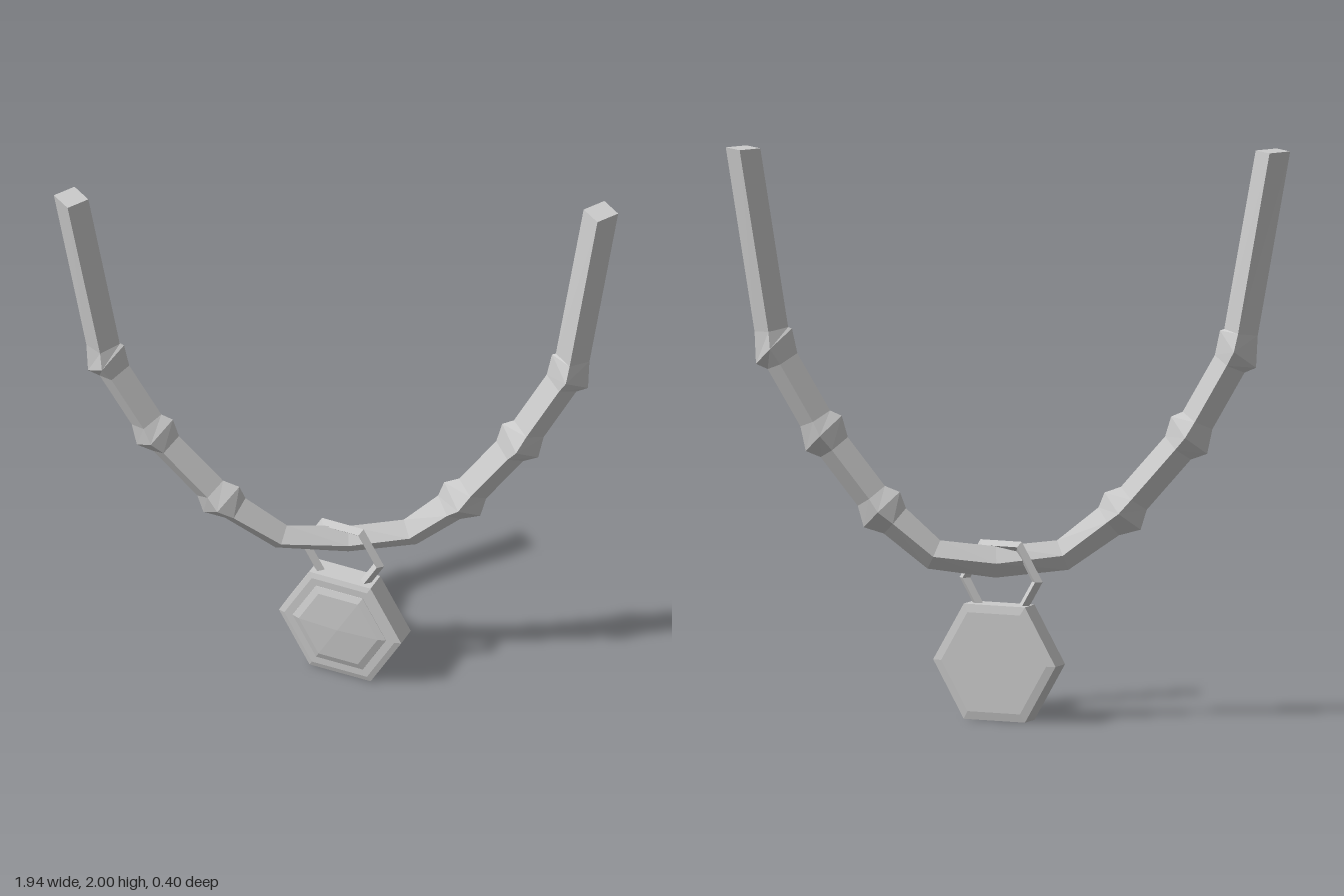
import * as THREE from 'three';

const V = (x, y, z) => new THREE.Vector3(x, y, z);
const material = () => new THREE.MeshStandardMaterial({ color: 0xcccccc, flatShading: true });

function addMesh(parent, geometry, name) {
  const flat = geometry.index ? geometry.toNonIndexed() : geometry;
  flat.computeVertexNormals();
  const mesh = new THREE.Mesh(flat, material());
  mesh.name = name;
  parent.add(mesh);
  return mesh;
}

// Skin a list of four-cornered sections and cap both ends
function loft(sections) {
  const index = [];
  for (let i = 0; i < sections.length - 1; i++) {
    for (let j = 0; j < 4; j++) {
      const a = i * 4 + j, b = i * 4 + (j + 1) % 4;
      index.push(a, b, b + 4, a, b + 4, a + 4);
    }
  }
  const e = (sections.length - 1) * 4;
  index.push(0, 2, 1, 0, 3, 2, e, e + 1, e + 2, e, e + 2, e + 3);
  const geometry = new THREE.BufferGeometry().setFromPoints(sections.flat());
  geometry.setIndex(index);
  return geometry;
}

// Diamond section: n is the inward axis, b the depth axis
function diamond(p, n, b, rn, rb) {
  return [[n, rn], [b, rb], [n, -rn], [b, -rb]].map(([d, r]) => p.clone().addScaledVector(d, r));
}

function across(p, tangent, rn, rb) {
  const n = V(0, 0, 1).cross(tangent).normalize();
  const b = tangent.clone().cross(n).normalize();
  return diamond(p, n, b, rn, rb);
}

function cordGeometry() {
  // x, y, z, whether a knot sits here
  const path = [
    [-0.913, 2, 0.133, 0], [-0.793, 1.305, 0.115, 1], [-0.622, 1.0, 0.107, 1],
    [-0.39, 0.73, 0.092, 1], [-0.185, 0.575, 0.06, 0], [0.04, 0.553, 0, 0],
    [0.25, 0.58, -0.045, 0], [0.43, 0.735, -0.065, 1], [0.63, 1.0, -0.09, 1],
    [0.8, 1.305, -0.12, 1], [0.905, 2, -0.142, 0],
  ];
  const points = path.map(([x, y, z]) => V(x, y, z));
  const sections = [];
  points.forEach((p, i) => {
    if (i === 0 || i === points.length - 1) {
      sections.push(across(p, V(0, i ? 1 : -1, 0), 0.061, 0.062));
      return;
    }
    const before = p.clone().sub(points[i - 1]).normalize();
    const after = points[i + 1].clone().sub(p).normalize();
    if (path[i][3]) {
      // Knot: a wide tilted section between two narrow ones
      const inward = V(-Math.sign(p.x), 1, 0).normalize();
      sections.push(across(p.clone().addScaledVector(before, -0.06), before, 0.06, 0.055));
      sections.push(diamond(p, inward, V(0, 0, 1), 0.09, 0.075));
      sections.push(across(p.clone().addScaledVector(after, 0.06), after, 0.06, 0.055));
    } else {
      sections.push(across(p, before.add(after).normalize(), 0.055, 0.043));
    }
  });
  return loft(sections);
}

// Six-sided turned solid facing +z, corners pointing left and right
function hexSolid(profile) {
  const points = profile.map(([r, h]) => new THREE.Vector2(r, h));
  return new THREE.LatheGeometry(points, 6, Math.PI / 6).rotateX(Math.PI / 2);
}

export function createModel() {
  const model = new THREE.Group();
  model.name = 'necklace';
  addMesh(model, cordGeometry(), 'knottedCord');

  // Pendant and its ring hang slightly turned
  const pendant = new THREE.Group();
  pendant.name = 'pendant';
  pendant.position.set(0.03, 0.203, 0.009);
  pendant.rotation.y = -0.235;
  model.add(pendant);

  addMesh(pendant, hexSolid([
    [0, -0.046], [0.2, -0.046], [0.233, -0.04], [0.233, 0.04], [0.21, 0.046], [0, 0.046],
  ]), 'pendantBody');
  addMesh(pendant, hexSolid([
    [0.18, 0.04], [0.178, 0.047], [0.15, 0.056], [0, 0.064],
  ]), 'gem');

  const ring = addMesh(pendant, new THREE.TorusGeometry(0.138, 0.02, 4, 6), 'hangingRing');
  ring.position.set(-0.005, 0.287, 0.006);
  return model;
}
